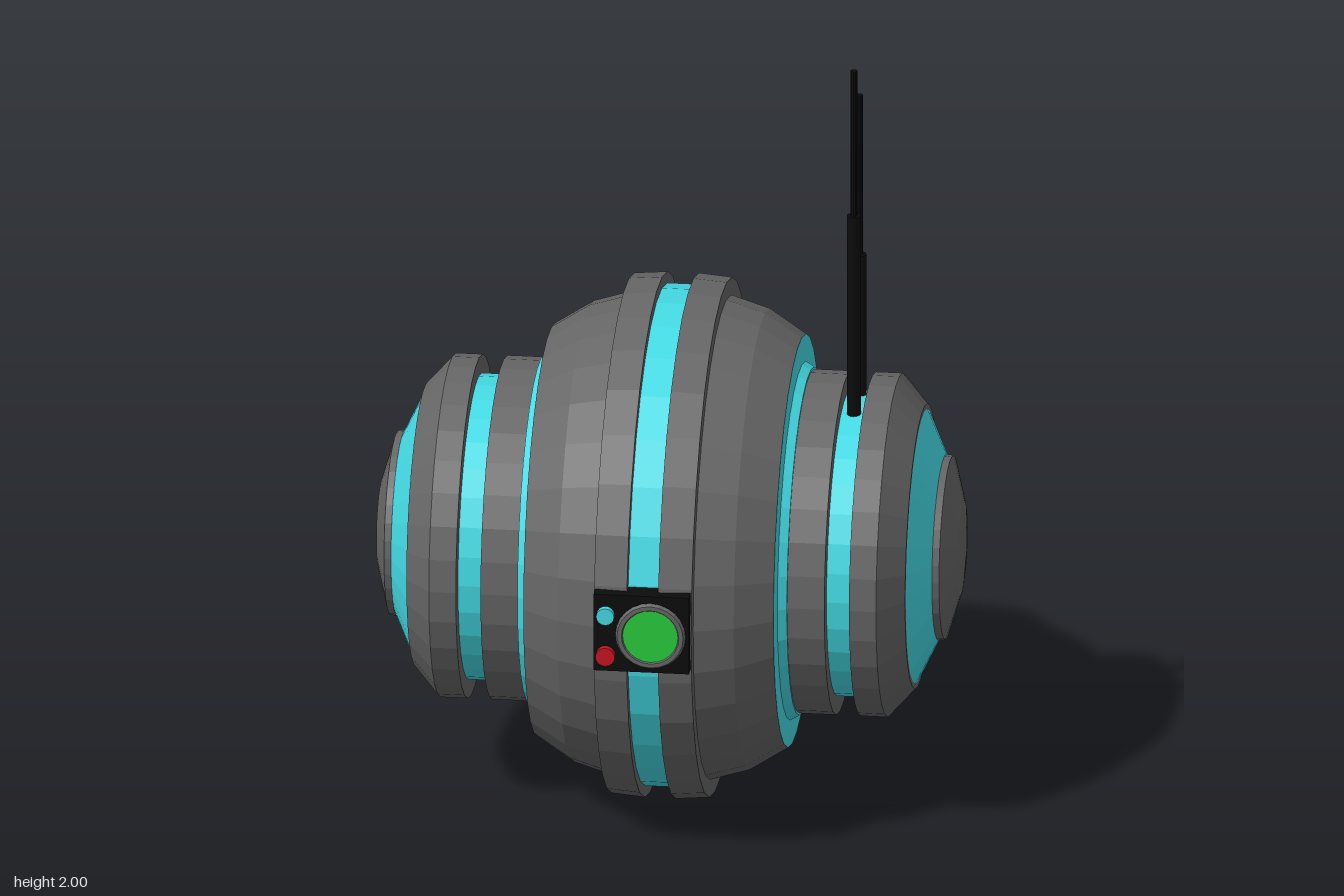
import * as THREE from 'three';

const mat = (color) => new THREE.MeshStandardMaterial({ color, flatShading: true, side: THREE.DoubleSide });
const GREY = mat(0x666666), CYAN = mat(0x44dbe5), BLACK = mat(0x0c0c0c);
const GREEN = mat(0x28cc3c), RED = mat(0xc81420);

const CY = 0.669, CZ = -0.017, SIDES = 32;

// Bands of one half, as [distance from the middle, radius] profiles
const BANDS = [
  ['equatorStripe', CYAN, [[0, 0.64], [0.04, 0.64]]],
  ['equatorRing', GREY, [[0.04, 0.6], [0.04, 0.669], [0.125, 0.662], [0.125, 0.617]]],
  ['mainShell', GREY, [[0.125, 0.617], [0.225, 0.587], [0.32, 0.527]]],
  ['shellEndStripe', CYAN, [[0.32, 0.527], [0.322, 0.457], [0.345, 0.444], [0.345, 0.42]]],
  ['innerPodRing', GREY, [[0.345, 0.42], [0.345, 0.438], [0.44, 0.438], [0.44, 0.38]]],
  ['podGrooveStripe', CYAN, [[0.44, 0.39], [0.503, 0.39]]],
  ['outerPodRing', GREY, [[0.503, 0.38], [0.503, 0.438], [0.572, 0.438], [0.638, 0.364], [0.638, 0.345]]],
  ['podEndStripe', CYAN, [[0.638, 0.35], [0.695, 0.23]]],
  ['endCap', GREY, [[0.692, 0.225], [0.692, 0.237], [0.71, 0.235], [0.743, 0.12], [0.755, 0]]],
];

function add(parent, name, geometry, material, x = 0, y = 0, z = 0) {
  const mesh = new THREE.Mesh(geometry, material);
  mesh.name = name;
  mesh.position.set(x, y, z);
  parent.add(mesh);
  return mesh;
}

// Disc-like cylinder whose round face looks along +z
const disc = (r, depth, sides = 24) => new THREE.CylinderGeometry(r, r, depth, sides).rotateX(Math.PI / 2);

export function createModel() {
  const model = new THREE.Group();
  model.name = 'droneSphere';

  // Banded body, turned about the x axis, one half per side
  for (const [label, side] of [['left', 1], ['right', -1]]) {
    const half = new THREE.Group();
    half.name = label + 'Half';
    half.position.set(0, CY, CZ);
    for (const [name, material, profile] of BANDS) {
      const points = profile.map(([d, r]) => new THREE.Vector2(r, d));
      add(half, name, new THREE.LatheGeometry(points, SIDES).rotateZ(-side * Math.PI / 2), material);
    }
    model.add(half);
  }

  // Control panel on the front
  const panel = new THREE.Group();
  panel.name = 'controlPanel';
  model.add(panel);
  add(panel, 'panelBox', new THREE.BoxGeometry(0.244, 0.21, 0.13), BLACK, 0, 0.685, 0.603);
  add(panel, 'dialRim', new THREE.TorusGeometry(0.079, 0.011, 6, 24), GREY, 0.024, 0.683, 0.672);
  add(panel, 'dialFace', disc(0.072, 0.02), GREEN, 0.024, 0.683, 0.667);
  add(panel, 'upperLight', disc(0.023, 0.03, 16), CYAN, -0.091, 0.735, 0.67);
  add(panel, 'lowerLight', disc(0.025, 0.03, 16), RED, -0.091, 0.624, 0.67);

  // Two stepped antennas on the left pod groove
  for (const [name, z, step, top] of [['frontAntenna', 0.042, 1.6, 2], ['rearAntenna', -0.085, 1.44, 1.88]]) {
    const antenna = new THREE.Group();
    antenna.name = name;
    antenna.position.set(0.472, 0, z);
    const base = 1.02;
    add(antenna, 'antennaBase', new THREE.CylinderGeometry(0.018, 0.018, step - base, 12), BLACK, 0, (step + base) / 2);
    add(antenna, 'antennaTip', new THREE.CylinderGeometry(0.009, 0.009, top - step, 10), BLACK, 0, (top + step) / 2);
    model.add(antenna);
  }
  return model;
}
